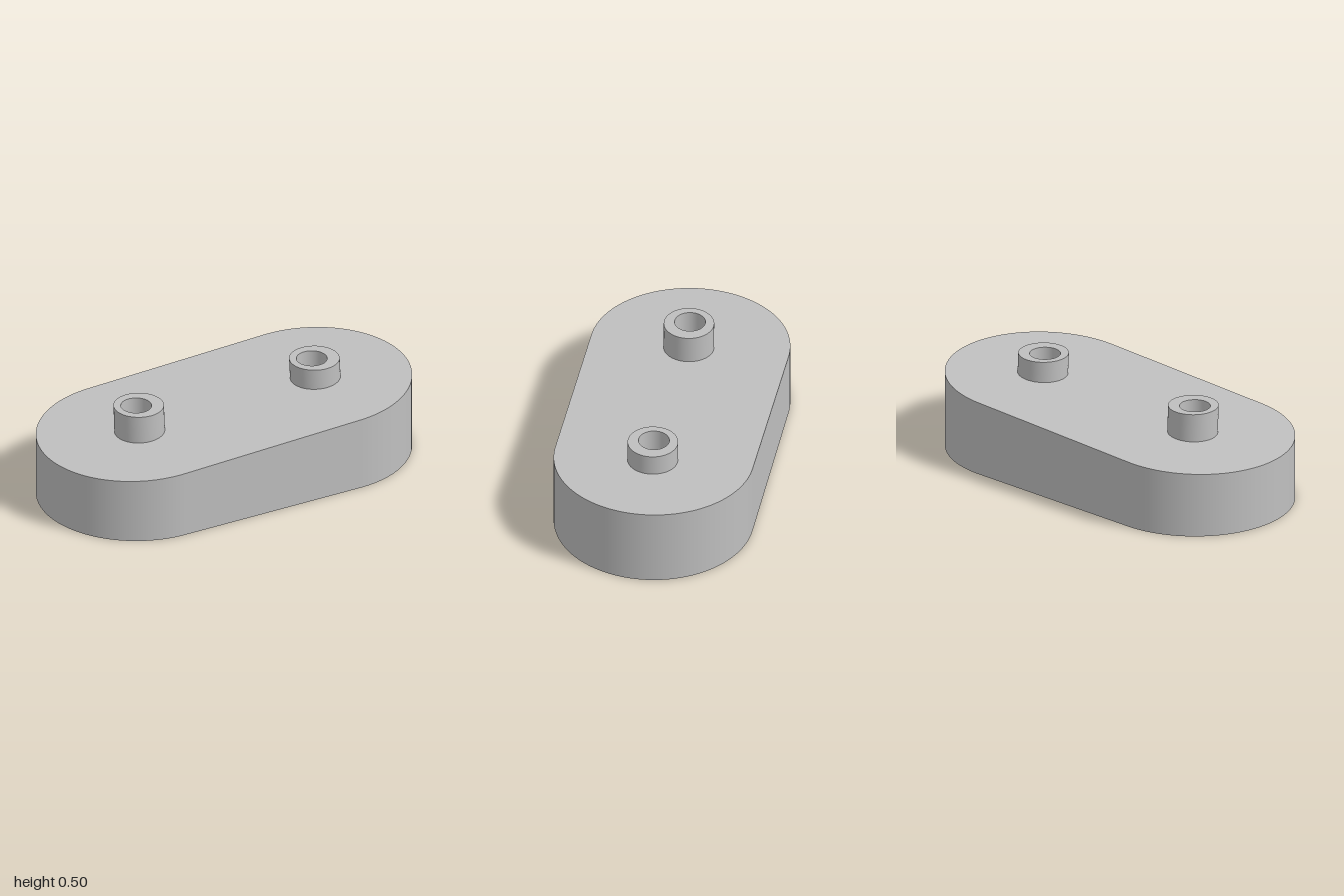
import * as THREE from 'three';

const R = 0.5;            // end radius, also half the distance between holes
const COLLAR_TOP = 0.495;
const SLOPE = 0.0375;
const topY = (x) => 0.3675 + SLOPE * x; // sloped upper face

export function createModel() {
  const group = new THREE.Group();
  const grey = new THREE.MeshStandardMaterial({ color: 0xbfbfbf, side: THREE.DoubleSide });
  grey.name = 'grey';

  const add = (name, geometry) => {
    const mesh = new THREE.Mesh(geometry, grey);
    mesh.name = name;
    group.add(mesh);
  };

  // Move every vertex by a rule
  const reshape = (geometry, rule) => {
    const p = geometry.attributes.position;
    for (let i = 0; i < p.count; i++) {
      p.setXYZ(i, ...rule(p.getX(i), p.getY(i), p.getZ(i)));
    }
    geometry.computeBoundingSphere();
    return geometry;
  };
  const circle = (x, y, r) => new THREE.Path().absarc(x, y, r, 0, Math.PI * 2, true);
  const tube = (r, y0, y1) =>
    new THREE.CylinderGeometry(r, r, y1 - y0, 64, 1, true).translate(0, (y0 + y1) / 2, 0);

  // Rounded-end slab face with a round opening at each post
  const slab = (holeShift, holeZ, holeR) => {
    const s = new THREE.Shape();
    s.absarc(R, 0, R, -Math.PI / 2, Math.PI / 2, false);
    s.absarc(-R, 0, R, Math.PI / 2, Math.PI * 1.5, false);
    for (const x of [-R, R]) s.holes.push(circle(x + holeShift, -holeZ, holeR));
    return new THREE.ShapeGeometry(s, 32);
  };

  const boreR = 0.077, pocketR = 0.122, pocketY = 0.18;
  const collarR = 0.126, collarZ = 0.003, baseShift = 0.018, topShift = 0.0128;

  // Base and sloped top
  add('bottomFace', slab(0, 0, pocketR).rotateX(Math.PI / 2));
  const top = slab(baseShift, collarZ, collarR).rotateX(-Math.PI / 2);
  reshape(top, (x, y, z) => [x, topY(x), z]);
  top.computeVertexNormals();
  add('topFace', top);

  // Outer walls, their upper edge following the slope
  const toSlope = (x, y, z) => [x, y > 0 ? topY(x) : 0, z];
  for (const side of [-1, 1]) {
    const end = new THREE.CylinderGeometry(R, R, 1, 64, 1, true, side > 0 ? 0 : Math.PI, Math.PI);
    add(side > 0 ? 'leftEndWall' : 'rightEndWall', reshape(end.translate(side * R, 0, 0), toSlope));

    const flat = new THREE.PlaneGeometry(2 * R, 1);
    if (side < 0) flat.rotateY(Math.PI);
    add(side > 0 ? 'frontWall' : 'backWall', reshape(flat.translate(0, 0, side * R), toSlope));
  }

  for (const cx of [-R, R]) {
    const label = cx > 0 ? 'left' : 'right';

    // Collar leaning square to the slope, cut level at its top
    const collar = reshape(new THREE.CylinderGeometry(collarR, collarR, 1, 64, 1, true), (x, y, z) => {
      const bx = cx + baseShift + x;
      return y > 0 ? [cx + topShift + x, COLLAR_TOP, z + collarZ] : [bx, topY(bx), z + collarZ];
    });
    add(label + 'Collar', collar);

    const rim = new THREE.Shape();
    rim.absarc(cx + topShift, -collarZ, collarR, 0, Math.PI * 2, false);
    rim.holes.push(circle(cx, 0, boreR));
    add(label + 'CollarRim', new THREE.ShapeGeometry(rim, 32).rotateX(-Math.PI / 2).translate(0, COLLAR_TOP, 0));

    // Through bore with a wider pocket underneath
    add(label + 'Bore', tube(boreR, pocketY, COLLAR_TOP).translate(cx, 0, 0));
    add(label + 'Pocket', tube(pocketR, 0, pocketY).translate(cx, 0, 0));
    add(label + 'PocketShoulder',
      new THREE.RingGeometry(boreR, pocketR, 64).rotateX(Math.PI / 2).translate(cx, pocketY, 0));
  }
  return group;
}
